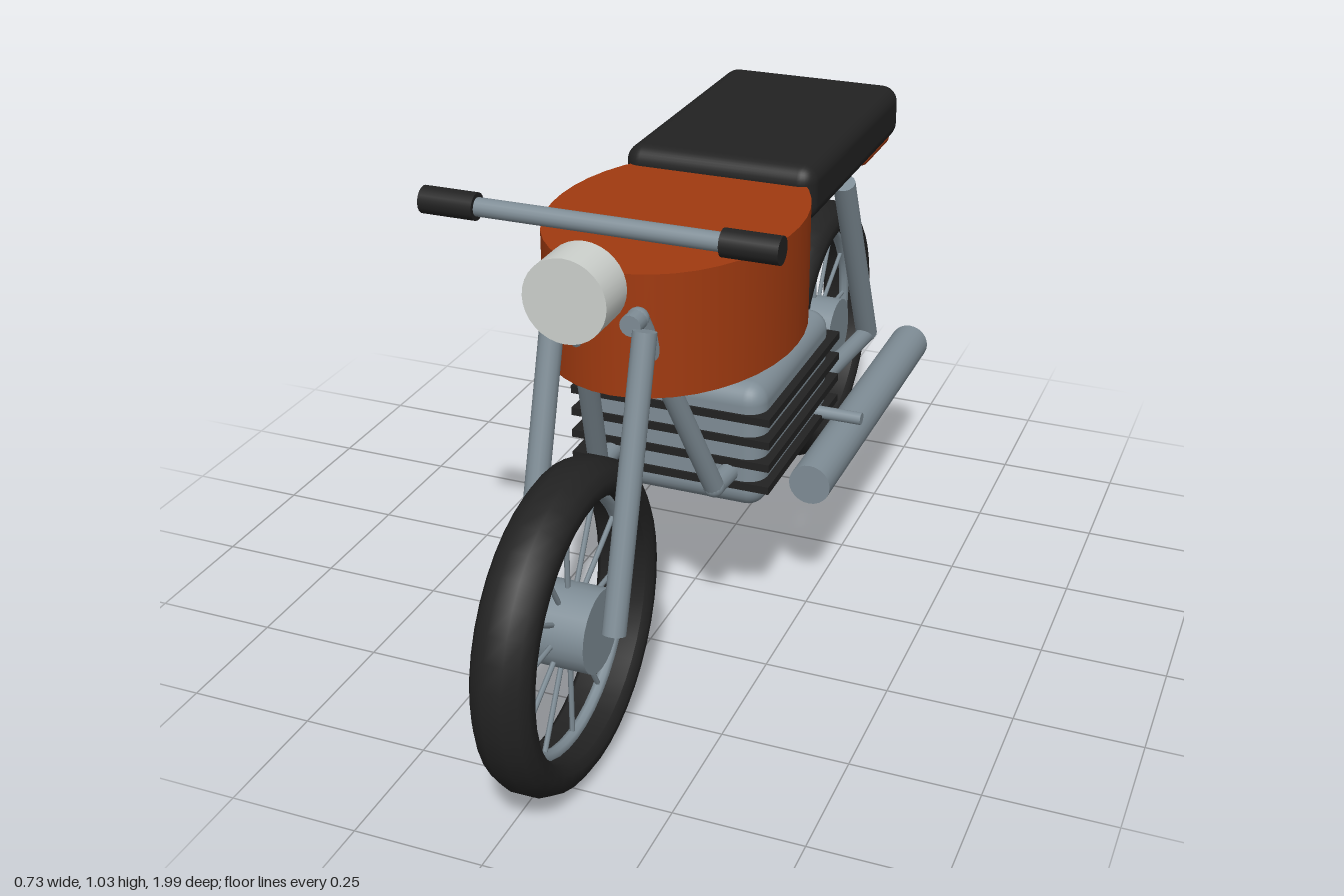
import * as THREE from 'three';
import { RoundedBoxGeometry } from 'three/addons/geometries/RoundedBoxGeometry.js';

const mat = (name, color) => {
  const m = new THREE.MeshStandardMaterial({ color });
  m.name = name;
  return m;
};

export function createModel() {
  const steel = mat('steel', 0x7f8d96);
  const black = mat('black', 0x222222);
  const orange = mat('orange', 0xa03a10);
  const red = mat('red', 0xb81010);
  const lamp = mat('lamp', 0xcdd1cd);

  const model = new THREE.Group();
  model.name = 'motorcycle';
  // the bike's own centre plane is shifted because the stand and exhaust differ
  const bike = new THREE.Group();
  bike.name = 'bike';
  bike.position.x = 0.03;
  model.add(bike);

  const add = (name, geo, material, pos = [0, 0, 0], parent = bike) => {
    const mesh = new THREE.Mesh(geo, material);
    mesh.name = name;
    mesh.position.set(...pos);
    parent.add(mesh);
    return mesh;
  };
  // straight round bar between two points
  const bar = (name, a, b, r, material = steel, sides = 16, parent = bike) => {
    const p = new THREE.Vector3(...a), q = new THREE.Vector3(...b);
    const d = q.clone().sub(p);
    const mesh = add(name, new THREE.CylinderGeometry(r, r, d.length(), sides), material,
      p.clone().add(q).multiplyScalar(0.5).toArray(), parent);
    mesh.quaternion.setFromUnitVectors(new THREE.Vector3(0, 1, 0), d.normalize());
    return mesh;
  };
  const block = (name, x, y, z, r, material, pos) =>
    add(name, new RoundedBoxGeometry(x, y, z, 4, r), material, pos);

  // wheels: tyre, rim, hub and spokes
  const tyreProfile = [
    [0.243, -0.045], [0.255, -0.057], [0.275, -0.055], [0.293, -0.043], [0.305, -0.018],
    [0.305, 0.018], [0.293, 0.043], [0.275, 0.055], [0.255, 0.057], [0.243, 0.045], [0.243, -0.045],
  ].map(([r, h]) => new THREE.Vector2(r, h));
  for (const [name, z] of [['frontWheel', 0.69], ['rearWheel', -0.69]]) {
    const wheel = new THREE.Group();
    wheel.name = name;
    wheel.position.set(0, 0.31, z);
    bike.add(wheel);
    add('tyre', new THREE.LatheGeometry(tyreProfile, 40), black, [0, 0, 0], wheel).rotation.z = Math.PI / 2;
    add('rim', new THREE.TorusGeometry(0.239, 0.012, 8, 40), steel, [0, 0, 0], wheel).rotation.y = Math.PI / 2;
    bar('hub', [-0.062, 0, 0], [0.062, 0, 0], 0.078, steel, 24, wheel);
    for (let i = 0; i < 12; i++) {
      const a = i * Math.PI / 6, c = Math.cos(a), s = Math.sin(a);
      bar('spoke', [0, s * 0.06, c * 0.06], [0, s * 0.24, c * 0.24], 0.005, steel, 6, wheel);
    }
  }

  // mirrored fork legs and frame tubes
  for (const s of [-1, 1]) {
    bar('forkLeg', [s * 0.087, 0.31, 0.69], [s * 0.087, 0.83, 0.535], 0.022);
    const path = [
      [0.057, 0.832, 0.53], [0.057, 0.832, 0.495], [0.12, 0.405, 0.285],
      [0.154, 0.355, -0.61], [0.154, 0.795, -0.39],
    ].map(([x, y, z]) => [s * x, y, z]);
    for (let i = 0; i < path.length - 1; i++) {
      bar('frameTube', path[i], path[i + 1], i === 3 ? 0.024 : 0.02);
      if (i > 0) add('frameJoint', new THREE.SphereGeometry(0.021, 16, 10), steel, path[i]);
    }
    bar('seatRail', [s * 0.11, 0.79, -0.12], [s * 0.11, 0.765, -0.5], 0.02);
    bar('grip', [s * 0.227, 1.012, 0.53], [s * 0.331, 1.012, 0.53], 0.025, black, 20);
  }
  bar('handlebar', [-0.25, 1.012, 0.53], [0.25, 1.012, 0.53], 0.017);

  // engine with cooling fins
  block('engine', 0.38, 0.265, 0.43, 0.04, steel, [0, 0.455, 0]);
  for (let i = 0; i < 4; i++) {
    add('coolingFin', new THREE.BoxGeometry(0.414, 0.016, 0.44), black, [0, 0.378 + i * 0.0485, 0]);
  }
  bar('footPegs', [-0.289, 0.387, -0.125], [0.289, 0.387, -0.125], 0.013);

  // oval fuel tank
  add('fuelTank', new THREE.CylinderGeometry(1, 1, 0.238, 40), orange, [0, 0.79, 0.165])
    .scale.set(0.24, 1, 0.325);

  // seat and tail
  block('seat', 0.4, 0.118, 0.607, 0.035, black, [0, 0.887, -0.338]);
  block('tail', 0.284, 0.09, 0.19, 0.018, orange, [0, 0.803, -0.69]);
  add('tailLight', new THREE.BoxGeometry(0.172, 0.064, 0.032), red, [0, 0.831, -0.804]);

  // headlight
  bar('headlight', [0, 0.925, 0.585], [0, 0.925, 0.67], 0.077, lamp, 32);

  // exhaust on one side, side stand on the other
  bar('exhaust', [0.235, 0.31, 0.048], [0.235, 0.31, -0.69], 0.043, steel, 24);
  bar('sideStand', [-0.155, 0.36, -0.13], [-0.337, 0.014, -0.27], 0.016);
  add('standFoot', new THREE.BoxGeometry(0.113, 0.016, 0.084), black, [-0.338, 0.011, -0.268]);

  return model;
}
